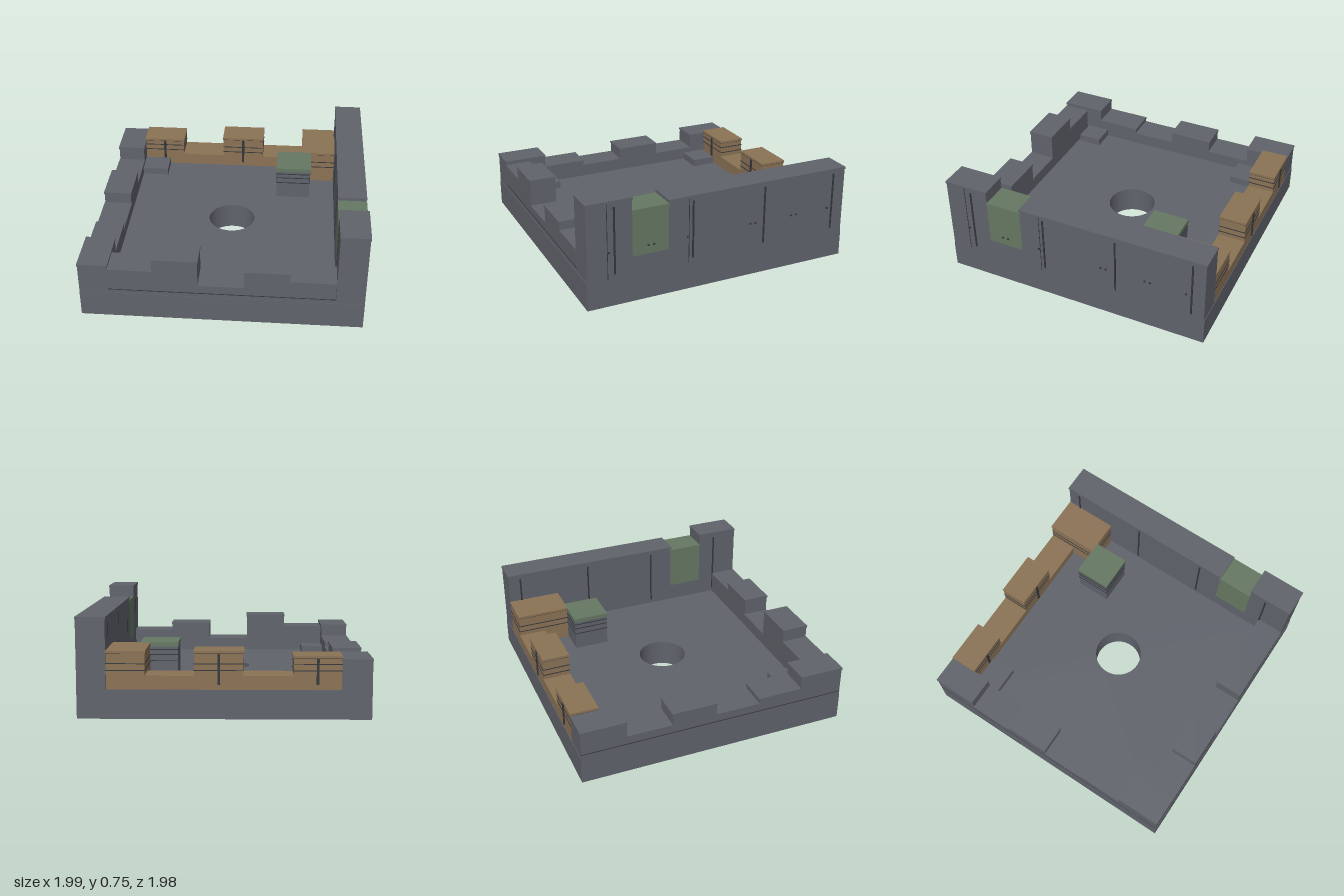
import * as THREE from 'three';

export function createModel() {
  const model = new THREE.Group();
  const mat = (name, color) => {
    const m = new THREE.MeshStandardMaterial({ color });
    m.name = name;
    return m;
  };
  const stone = mat('stone grey', 0x60636b);
  const wood = mat('weathered brown', 0x8b7355);
  const moss = mat('moss green', 0x657862);
  const dark = mat('dark seam', 0x33363c);

  // Box given by its lower and upper limits on each axis
  function box(name, material, x0, x1, y0, y1, z0, z1, parent = model) {
    const mesh = new THREE.Mesh(new THREE.BoxGeometry(x1 - x0, y1 - y0, z1 - z0), material);
    mesh.position.set((x0 + x1) / 2, (y0 + y1) / 2, (z0 + z1) / 2);
    mesh.name = name;
    parent.add(mesh);
    return mesh;
  }

  // Wall block with a slim overhanging cap
  const E = 0.004, FLOOR = 0.2, CAP = 0.016;
  function block(name, material, x0, x1, z0, z1, top, bottom = FLOOR) {
    const g = new THREE.Group();
    g.name = name;
    box('blockBody', material, x0, x1, bottom, top - CAP, z0, z1, g);
    box('blockCap', material, x0 - E, x1 + E, top - CAP, top, z0 - E, z1 + E, g);
    model.add(g);
    return g;
  }

  // Thin dark line running round a block
  function seam(x0, x1, z0, z1, y, parent = model) {
    const t = 0.003;
    box('plankSeam', dark, x0 - t, x1 + t, y - 0.003, y + 0.003, z0 - t, z1 + t, parent);
  }

  // Floor slab with a round shaft
  const X0 = -0.995, X1 = 0.985, Z = 0.988;
  const plan = new THREE.Shape();
  plan.moveTo(X0, -Z);
  plan.lineTo(X1, -Z);
  plan.lineTo(X1, Z);
  plan.lineTo(X0, Z);
  plan.closePath();
  const hole = new THREE.Path();
  hole.absarc(-0.003, 0, 0.175, 0, Math.PI * 2, true);
  plan.holes.push(hole);
  const slabGeo = new THREE.ExtrudeGeometry(plan, { depth: FLOOR, bevelEnabled: false, curveSegments: 32 });
  slabGeo.rotateX(-Math.PI / 2);
  const slab = new THREE.Mesh(slabGeo, stone);
  slab.name = 'floorSlab';
  model.add(slab);

  // Front wall: battlements of uneven height
  const frontX = [-0.79, -0.48, -0.165, 0.155, 0.47, 0.785];
  [0.4, 0.497, 0.297, 0.43, 0.367].forEach((top, i) =>
    block('frontWallBlock', stone, frontX[i], frontX[i + 1], 0.79, Z - E, top));

  // Left side wall, including both low corners
  const sideZ = [-Z + E, -0.66, -0.33, 0, 0.33, 0.66, Z - E];
  [0.41, 0.295, 0.385, 0.295, 0.335, 0.43].forEach((top, i) =>
    block('sideWallBlock', stone, X0, -0.79, sideZ[i], sideZ[i + 1], top));

  // Back wall of brown planks, raised and low in turn
  const backX = [-0.79, -0.47, -0.135, 0.195, 0.525, 0.785];
  [0.43, 0.295, 0.462, 0.295, 0.462].forEach((top, i) => {
    const x0 = backX[i], x1 = backX[i + 1];
    const z1 = i === 4 ? -0.597 : -0.79;
    const g = block('backWallBlock', wood, x0, x1, -Z + E, z1, top);
    if (top < 0.4) return;
    for (const y of [0.33, 0.375, top - CAP]) seam(x0, x1, -Z + E, z1, y, g);
    if (i < 4) {
      const xc = (x0 + x1) / 2;
      box('backWallStrut', dark, xc - 0.009, xc + 0.009, 0.235, top - CAP, -Z - 0.004, z1 + 0.008, g);
    }
  });

  // Tall right wall with corner tower and mossy section
  block('tallWall', stone, 0.787, X1, -Z + E, 0.4, 0.688);
  block('cornerTower', stone, 0.787, X1, 0.662, Z - E, 0.755);
  box('mossWallBase', stone, 0.787, X1, FLOOR, 0.33, 0.4, 0.662);
  block('mossWallBlock', moss, 0.787, X1, 0.4, 0.662, 0.663, 0.33);

  // Dark upright strips on the tall wall
  for (const z of [-0.89, -0.33, 0.22, 0.79]) {
    const top = z > 0.5 ? 0.71 : 0.65;
    box('wallStrip', dark, 0.783, 0.99, 0.23, top, z - 0.006, z + 0.006);
  }
  for (const z of [0.25, 0.84])
    box('wallJoint', dark, X1 - 0.01, X1 + 0.002, FLOOR, z > 0.5 ? 0.74 : 0.67, z - 0.002, z + 0.002);

  // Small studs on the outer face of the tall wall
  for (const z of [-0.87, -0.57, -0.24, 0.24, 0.53, 0.81])
    for (const dz of [-0.02, 0.02])
      box('wallStud', dark, X1 - 0.01, 0.995, 0.39, 0.40, z + dz - 0.006, z + dz + 0.006);

  // Free-standing pillar with a mossy lid
  box('pillarBody', stone, 0.33, 0.59, FLOOR, 0.432, -0.593, -0.335);
  box('pillarLid', moss, 0.325, 0.595, 0.432, 0.462, -0.597, -0.33);
  for (const y of [0.33, 0.375, 0.41]) seam(0.33, 0.59, -0.593, -0.335, y);

  // Low steps in the inner corners
  box('backCornerStep', stone, -0.79, -0.585, FLOOR, 0.255, -0.78, -0.595);
  box('frontCornerStep', stone, -0.79, -0.62, FLOOR, 0.255, 0.595, 0.775);

  // Course line along the foot of the front and side walls
  box('frontCourseLine', dark, -0.79, 0.785, 0.227, 0.232, Z - 0.01, Z - 0.002);
  box('sideCourseLine', dark, X0 - 0.002, X0 + 0.006, 0.227, 0.232, -Z + E, Z - E);

  return model;
}
